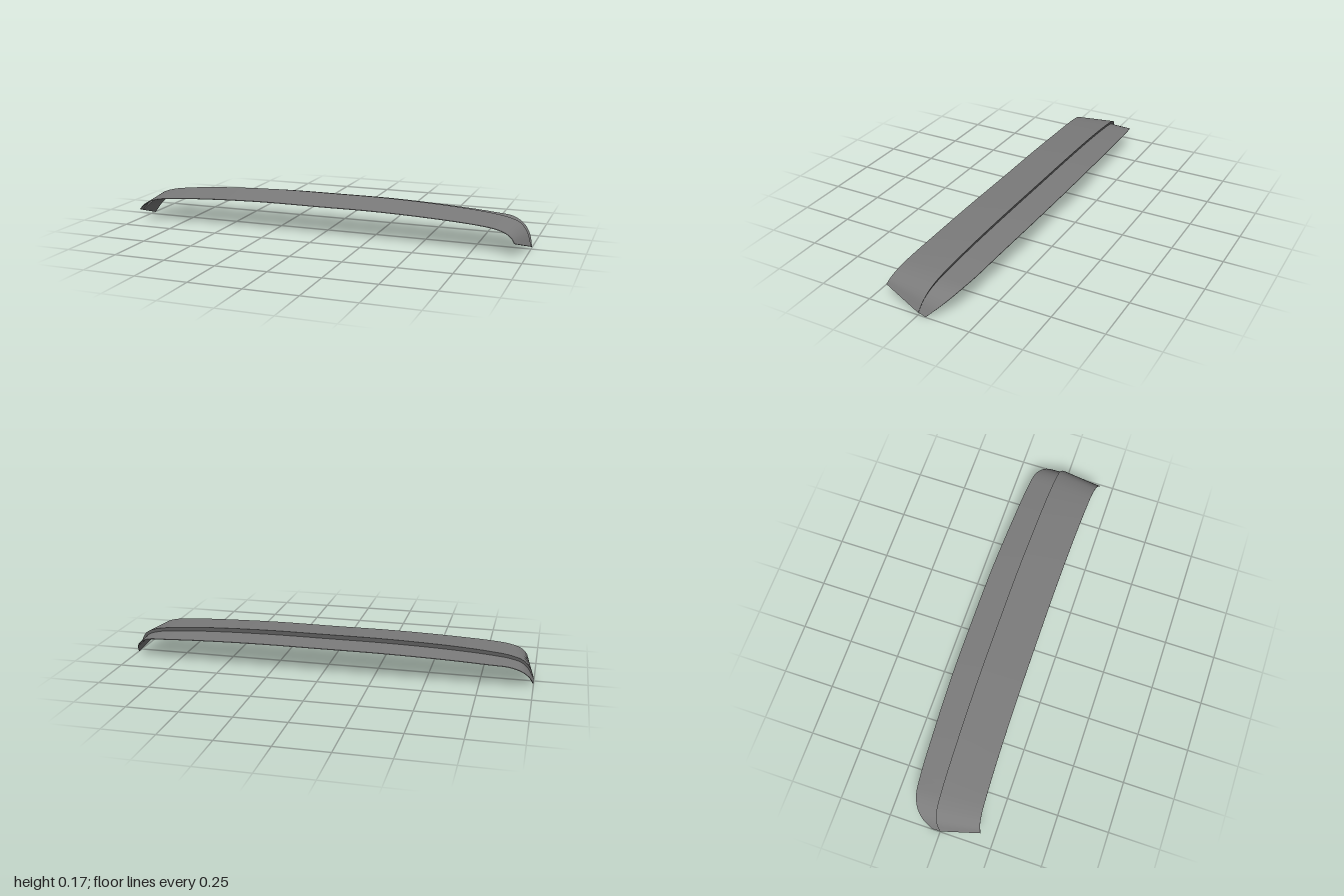
import * as THREE from 'three';

const STEPS = 70;

// Half of each guide line, centre to tip: [x, y, z]
const frontEdge = [[0, .152, .15], [.3, .152, .151], [.6, .143, .156], [.8, .131, .163],
  [.87, .121, .167], [.915, .106, .173], [.94, .088, .18], [.955, .068, .187]];
const ridgeLine = [[0, .173, -.057], [.3, .172, -.056], [.6, .161, -.05], [.8, .145, -.044],
  [.89, .131, -.039], [.945, .11, -.033], [.978, .072, -.02], [1, .011, -.001]];
const rearEdge = [[0, .144, -.187], [.3, .143, -.185], [.6, .133, -.174], [.8, .121, -.163],
  [.89, .112, -.151], [.945, .086, -.125], [.98, .047, -.086], [.999, 0, -.038]];

// Mirror a half line to both sides and sample it smoothly
function fullLine(half) {
  const right = half.map((p) => new THREE.Vector3(...p));
  const left = right.slice(1).reverse().map((p) => new THREE.Vector3(-p.x, p.y, p.z));
  const curve = new THREE.CatmullRomCurve3([...left, ...right]);
  return curve.getPoints(STEPS);
}

// Smooth strip between two lines of equal length
function strip(a, b) {
  const pos = [], index = [];
  a.forEach((p, i) => {
    pos.push(...p.toArray(), ...b[i].toArray());
    if (i < a.length - 1) {
      const k = i * 2;
      index.push(k, k + 2, k + 1, k + 1, k + 2, k + 3);
    }
  });
  const g = new THREE.BufferGeometry();
  g.setAttribute('position', new THREE.Float32BufferAttribute(pos, 3));
  g.setIndex(index);
  g.computeVertexNormals();
  return g;
}

export function createModel() {
  const group = new THREE.Group();
  const material = new THREE.MeshStandardMaterial({ color: 0x7c7c7c, side: THREE.DoubleSide });
  const add = (name, geometry) => {
    const mesh = new THREE.Mesh(geometry, material);
    mesh.name = name;
    group.add(mesh);
  };

  const front = fullLine(frontEdge);
  const ridge = fullLine(ridgeLine);
  const rear = fullLine(rearEdge);

  // Direction into the body at each station, and how near it is to a tip
  const inward = ridge.map((p, i) => {
    const a = ridge[Math.max(i - 1, 0)], b = ridge[Math.min(i + 1, STEPS)];
    return new THREE.Vector3(b.y - a.y, a.x - b.x, 0).normalize();
  });
  const tip = ridge.map((p) => THREE.MathUtils.clamp((.173 - p.y) / .162, 0, 1));
  const sink = (line, depth) => line.map((p, i) => p.clone().addScaledVector(inward[i], depth(tip[i])));

  // Foot of the step behind the ridge
  const foot = sink(ridge, (t) => .023 * (1 - t) + .002);
  foot.forEach((p, i) => { p.z += .012 * (1 - tip[i]); });

  // Lower lines: the rear plate runs forward below the front panel and ends in a small step
  const frontLow = sink(front, () => .003);
  const rearLow = sink(rear, () => .003);
  const plateEnd = front.map((p, i) => p.clone().lerp(ridge[i], .62 - .4 * tip[i]));
  const plateTop = sink(plateEnd, () => .003);
  const plateLow = sink(plateEnd, (t) => .014 - .01 * t);

  add('frontPanel', strip(front, ridge));
  add('ridgeStep', strip(ridge, foot));
  add('rearPanel', strip(foot, rear));
  add('rearRim', strip(rear, rearLow));
  add('rearUnderside', strip(rearLow, plateLow));
  add('plateFrontRim', strip(plateLow, plateTop));
  add('frontUnderside', strip(plateTop, frontLow));
  add('frontRim', strip(frontLow, front));

  // Thin caps closing both tips
  const loop = [plateTop, frontLow, front, ridge, foot, rear, rearLow];
  for (const [name, i] of [['rightTip', 0], ['leftTip', STEPS]]) {
    const pos = [];
    for (let k = 0; k < loop.length - 1; k++) {
      pos.push(...plateLow[i].toArray(), ...loop[k][i].toArray(), ...loop[k + 1][i].toArray());
    }
    const g = new THREE.BufferGeometry();
    g.setAttribute('position', new THREE.Float32BufferAttribute(pos, 3));
    g.computeVertexNormals();
    add(name, g);
  }
  return group;
}
